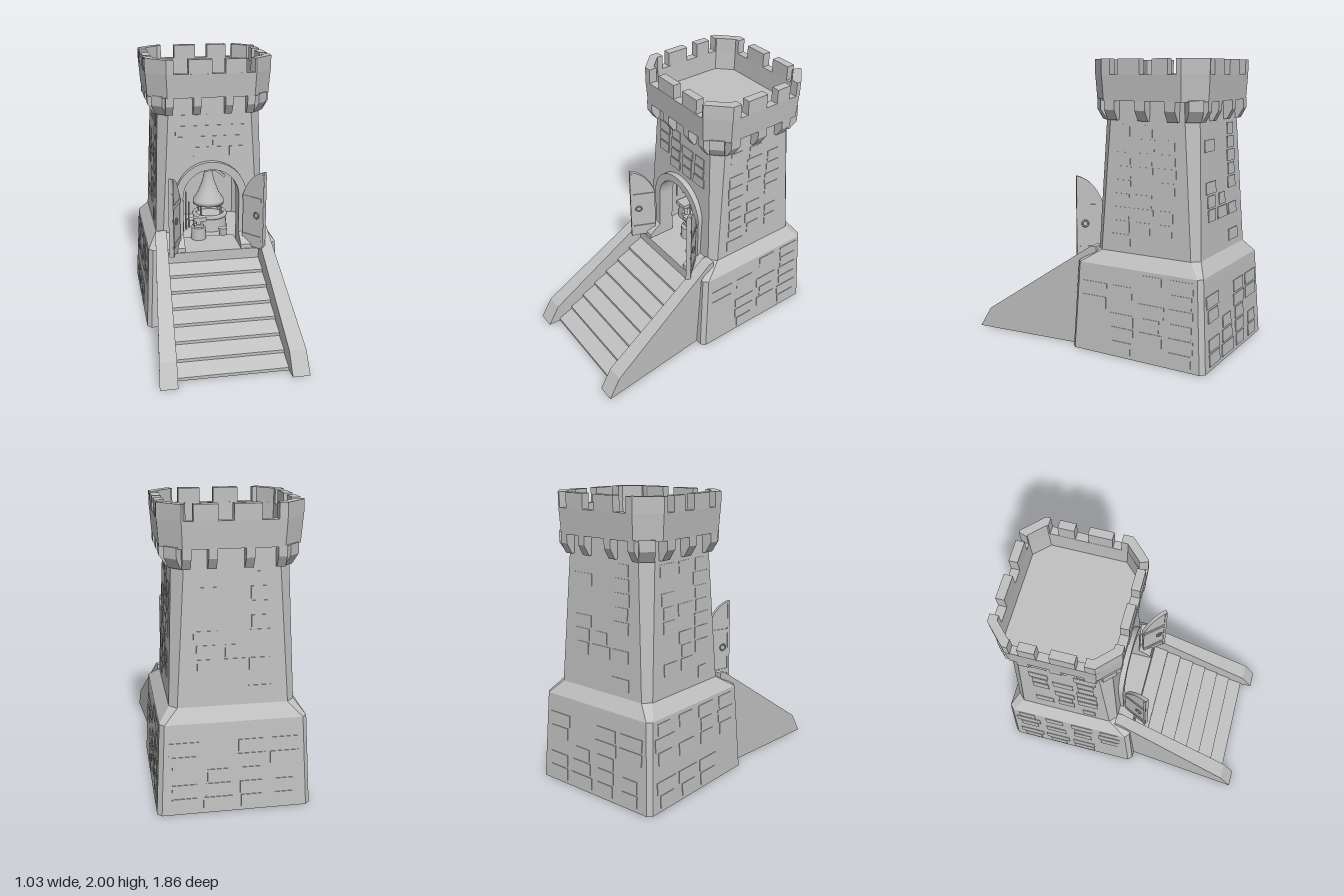
import * as THREE from 'three';

const stone = new THREE.MeshStandardMaterial({ color: 0xc0c0c0 });
stone.name = 'pale grey';
const lerp = THREE.MathUtils.lerp;

function add(parent, name, geo, x = 0, y = 0, z = 0) {
  const m = new THREE.Mesh(geo, stone);
  m.name = name;
  m.position.set(x, y, z);
  parent.add(m);
  return m;
}
const box = (w, h, d) => new THREE.BoxGeometry(w, h, d);
const cyl = (r0, r1, h, n = 16) => new THREE.CylinderGeometry(r0, r1, h, n);
const poly = pts => new THREE.Shape(pts.map(p => new THREE.Vector2(p[0], p[1])));
const extrude = (shape, depth) =>
  new THREE.ExtrudeGeometry(shape, { depth, bevelEnabled: false, curveSegments: 16 });

// Chamfered rectangle at height y, starting with its front edge
const oct = (y, hx, zf, zb, c) => [
  [-hx + c, y, zf], [hx - c, y, zf], [hx, y, zf - c], [hx, y, zb + c],
  [hx - c, y, zb], [-hx + c, y, zb], [-hx, y, zb + c], [-hx, y, zf - c]];

// Flat-faced skin through a chain of rings; skip leaves one edge open
function loft(rings, { bottom = true, top = true, skip = -1 } = {}) {
  const v = [], n = rings[0].length;
  for (let r = 0; r < rings.length - 1; r++) {
    for (let i = 0; i < n; i++) {
      if (i === skip) continue;
      const j = (i + 1) % n, a = rings[r], b = rings[r + 1];
      v.push(...a[i], ...a[j], ...b[j], ...a[i], ...b[j], ...b[i]);
    }
  }
  const last = rings[rings.length - 1];
  for (let i = 1; i < n - 1; i++) {
    if (bottom) v.push(...rings[0][0], ...rings[0][i + 1], ...rings[0][i]);
    if (top) v.push(...last[0], ...last[i], ...last[i + 1]);
  }
  const g = new THREE.BufferGeometry();
  g.setAttribute('position', new THREE.Float32BufferAttribute(v, 3));
  g.computeVertexNormals();
  return g;
}

// Side profile of (z, y) points pulled across x between two z-dependent limits
function across(pts, x0, x1) {
  const g = extrude(poly(pts), 1).rotateY(-Math.PI / 2).translate(1, 0, 0);
  const p = g.attributes.position;
  for (let i = 0; i < p.count; i++) p.setX(i, lerp(x0(p.getZ(i)), x1(p.getZ(i)), p.getX(i)));
  g.computeVertexNormals();
  return g;
}

let seed = 7;
const rnd = () => (seed = (seed * 16807) % 2147483647) / 2147483647;

// Slightly raised stones on one leaning wall
function stones(root, angle, y0, y1, rows, half, d0, d1, count) {
  const wall = new THREE.Group();
  wall.name = 'wallStones';
  wall.position.z = -0.425;
  wall.rotation.y = angle;
  const h = (y1 - y0) / rows;
  for (let r = 0; r < rows; r++) {
    for (let k = 0; k < count; k++) {
      if (rnd() < 0.35) continue;
      const cell = 2 * half / count, w = cell * (0.55 + 0.35 * rnd()), t = (r + 0.5) / rows;
      const s = add(wall, 'raisedStone', box(w, h * 0.86, 0.012),
        -half + cell * (k + 0.5), lerp(y0, y1, t), lerp(d0, d1, t));
      s.rotation.x = -Math.atan2(d0 - d1, y1 - y0);
    }
  }
  root.add(wall);
}

function doorLeaf(root, x, angle) {
  const g = new THREE.Group();
  g.name = 'doorLeaf';
  g.position.set(x, 0, -0.01);
  g.rotation.y = angle;
  const s = new THREE.Shape();
  s.moveTo(0, 0.6); s.lineTo(0.19, 0.6); s.lineTo(0.19, 1.2);
  s.quadraticCurveTo(0.06, 1.17, 0, 1.0);
  add(g, 'doorPanel', extrude(s, 0.026), 0, 0, -0.013);
  for (const y of [0.68, 0.98]) add(g, 'doorStrap', box(0.17, 0.03, 0.038), 0.085, y, 0);
  add(g, 'doorEdge', box(0.018, 0.58, 0.036), 0.18, 0.89, 0);
  for (const z of [-0.024, 0.024])
    add(g, 'doorRing', new THREE.TorusGeometry(0.022, 0.006, 6, 14), 0.13, 0.86, z);
  root.add(g);
}

function forge(root) {
  const g = new THREE.Group();
  g.name = 'forge';
  // Hearth with its hood and posts
  add(g, 'hearth', cyl(0.13, 0.14, 0.11), 0.06, 0.64, -0.45);
  add(g, 'hearthRim', new THREE.TorusGeometry(0.125, 0.018, 6, 20).rotateX(Math.PI / 2), 0.06, 0.7, -0.45);
  const hood = [[0, 0.79], [0.125, 0.79], [0.125, 0.82], [0.085, 0.88], [0.05, 0.97], [0.028, 1.07], [0.025, 1.35]]
    .map(p => new THREE.Vector2(...p));
  add(g, 'hood', new THREE.LatheGeometry(hood, 20), 0.05, 0, -0.45);
  for (const a of [0.8, 2.4, 3.9, 5.5])
    add(g, 'hoodPost', cyl(0.008, 0.008, 0.14, 6), 0.06 + 0.11 * Math.cos(a), 0.74, -0.45 + 0.11 * Math.sin(a));
  // Anvil on a stump
  add(g, 'stump', cyl(0.055, 0.06, 0.1), -0.07, 0.635, -0.2);
  add(g, 'anvilFoot', box(0.07, 0.02, 0.05), -0.07, 0.695, -0.2);
  add(g, 'anvilWaist', box(0.035, 0.04, 0.03), -0.07, 0.72, -0.2);
  add(g, 'anvilTop', box(0.1, 0.03, 0.05), -0.06, 0.748, -0.2);
  add(g, 'anvilHorn', cyl(0.004, 0.018, 0.05, 8).rotateZ(Math.PI / 2), -0.135, 0.75, -0.2);
  // Bucket beside the hearth
  add(g, 'bucket', cyl(0.035, 0.028, 0.06, 12), 0.13, 0.617, -0.24);
  // Tool racks and bench
  add(g, 'bench', box(0.1, 0.03, 0.3), -0.27, 0.73, -0.42);
  for (const z of [-0.3, -0.54]) add(g, 'benchLeg', box(0.08, 0.14, 0.03), -0.27, 0.655, z);
  add(g, 'toolRail', box(0.02, 0.025, 0.4), -0.32, 1.0, -0.42);
  for (let i = 0; i < 6; i++) {
    add(g, 'toolHandle', cyl(0.007, 0.007, 0.2, 6), -0.305, 0.91, -0.26 - i * 0.065);
    add(g, 'toolHead', box(0.02, 0.03, 0.04), -0.305, 1.02, -0.26 - i * 0.065);
  }
  for (let i = 0; i < 4; i++) {
    const h = 0.22 + 0.05 * (i % 3);
    add(g, 'standingTool', cyl(0.007, 0.007, h, 6), -0.2 + i * 0.03, 0.587 + h / 2, -0.32 - i * 0.04);
  }
  // Ceiling beam with struts
  add(g, 'beam', box(0.66, 0.035, 0.04), 0, 1.12, -0.3);
  for (const s of [-1, 1]) add(g, 'beamStrut', box(0.1, 0.02, 0.025), s * 0.11, 1.09, -0.28).rotation.z = s * -0.7;
  root.add(g);
}

export function createModel() {
  const root = new THREE.Group();
  root.name = 'watchtower';

  // Base, shoulder and tower shaft
  const sill = oct(0.585, 0.482, 0.062, -0.893, 0.03), brow = oct(0.62, 0.48, 0.06, -0.89, 0.03);
  const neck = oct(0.71, 0.41, -0.055, -0.83, 0.05), crown = oct(1.75, 0.37, -0.088, -0.77, 0.075);
  add(root, 'base', loft([oct(0, 0.51, 0.09, -0.93, 0.03), sill]));
  add(root, 'shaft', loft([sill, brow, neck, crown], { skip: 0, bottom: false, top: false }));
  const flip = r => [...r].reverse();
  add(root, 'roomLining', loft([flip(oct(0.59, 0.34, -0.12, -0.74, 0.04)), flip(oct(1.35, 0.34, -0.12, -0.74, 0.04))],
    { skip: 6, bottom: false }));

  // Blocks flanking the doorway at the shoulder
  for (const s of [-1, 1]) {
    const ring = (y, x, z) => s > 0
      ? [[0.21, y, z], [x, y, z], [x, y, -0.15], [0.21, y, -0.15]]
      : [[-x, y, z], [-0.21, y, z], [-0.21, y, -0.15], [-x, y, -0.15]];
    add(root, 'doorwayBlock', loft([ring(0.585, 0.452, 0.062), ring(0.62, 0.45, 0.06), ring(0.71, 0.36, -0.055)]));
  }

  // Front wall with arched doorway
  const front = new THREE.Shape();
  front.moveTo(0.21, 0.71); front.lineTo(0.36, 0.71); front.lineTo(0.295, 1.75);
  front.lineTo(-0.295, 1.75); front.lineTo(-0.36, 0.71); front.lineTo(-0.21, 0.71);
  front.lineTo(-0.21, 0.98); front.absarc(0, 0.98, 0.21, Math.PI, 0, true);
  const wall = extrude(front, 0.09), p = wall.attributes.position;
  for (let i = 0; i < p.count; i++)
    p.setZ(i, p.getZ(i) - 0.09 + lerp(-0.055, -0.088, (p.getY(i) - 0.71) / 1.04));
  wall.computeVertexNormals();
  add(root, 'frontWall', wall);
  const arch = new THREE.Shape();
  arch.moveTo(0.21, 0.585); arch.lineTo(0.265, 0.585); arch.lineTo(0.265, 0.98);
  arch.absarc(0, 0.98, 0.268, 0, Math.PI, false);
  arch.lineTo(-0.265, 0.585); arch.lineTo(-0.21, 0.585); arch.lineTo(-0.21, 0.98);
  arch.absarc(0, 0.98, 0.21, Math.PI, 0, true);
  add(root, 'doorArch', extrude(arch, 0.11), 0, 0, -0.14);

  // Parapet: underside, flared outside, rim, inside and roof floor in one chain
  add(root, 'parapet', loft([oct(1.73, 0.445, -0.012, -0.84, 0.13), oct(1.9, 0.457, 0, -0.848, 0.135),
    oct(1.9, 0.4, -0.06, -0.79, 0.1), oct(1.76, 0.395, -0.065, -0.785, 0.1)]));
  const zc = -0.424, up = shape => extrude(shape, 0.1).rotateX(-Math.PI / 2);
  for (const [a, b] of [[-0.165, 0.005], [0.1, 0.25]])
    for (const z of [-0.03, -0.819]) add(root, 'merlon', box(b - a, 0.1, 0.058), (a + b) / 2, 1.95, z);
  for (const [a, b] of [[-0.42, -0.26], [-0.62, -0.51]])
    for (const x of [-0.43, 0.43]) add(root, 'merlon', box(0.058, 0.1, b - a), x, 1.95, (a + b) / 2);
  for (const sx of [-1, 1]) for (const sz of [-1, 1]) {
    const xa = sx > 0 ? 0.335 : 0.27, za = sz > 0 ? 0.254 : 0.286;
    const pts = [[Math.min(xa, 0.31), 0.424], [0.322, 0.424], [0.459, 0.289], [0.459, za - 0.03],
      [0.4, za - 0.03], [0.4, 0.266], [0.3, 0.366], [Math.min(xa, 0.29), 0.366]];
    add(root, 'cornerMerlon', up(poly(pts.map(([x, z]) => [sx * x, -(zc + sz * z)]))), 0, 1.9, 0);
  }

  // Corbels under the parapet
  const corbel = (name, x, z, angle, w, out) => {
    const g = across([[-0.06, 1.6], [0.025, 1.6], [out, 1.67], [out, 1.74], [-0.06, 1.74]], () => -w / 2, () => w / 2);
    add(root, name, g, x, 0, z).rotation.y = angle;
  };
  for (const x of [-0.3, -0.1, 0.13, 0.29]) {
    corbel('corbel', x, -0.084, 0, 0.055, 0.07);
    corbel('corbel', x, -0.775, Math.PI, 0.055, 0.065);
  }
  for (const z of [-0.185, -0.415, -0.63]) for (const s of [-1, 1])
    corbel('corbel', s * 0.374, z, s * Math.PI / 2, 0.075, 0.07);
  for (const s of [-1, 1]) {
    corbel('cornerCorbel', s * 0.337, -0.12, s * Math.PI / 4, 0.1, 0.07);
    corbel('cornerCorbel', s * 0.337, -0.74, s * Math.PI * 0.75, 0.1, 0.07);
  }

  // Ramp of overlapping sloped treads, with side walls
  const ramp = [[-0.05, 0], [0.84, 0]];
  for (let i = 0; i < 8; i++) {
    const z = 0.84 - i * 0.11;
    ramp.push([z, i * 0.073 + 0.022]);
    ramp.push(i < 7 ? [z - 0.11, (i + 1) * 0.073] : [z, 0.588]);
  }
  ramp.push([-0.05, 0.588]);
  add(root, 'stairs', across(ramp, z => -0.36 - 0.04 * z, z => 0.36 + 0.04 * z));
  add(root, 'threshold', box(0.42, 0.008, 0.3), 0, 0.586, -0.08);
  const rail = [[-0.06, 0], [0.93, 0], [0.84, 0.15], [-0.02, 0.725], [-0.06, 0.725]];
  const inner = z => 0.34 + 0.052 * z, outer = z => 0.425 + 0.092 * z;
  add(root, 'leftStairWall', across(rail, inner, outer));
  add(root, 'rightStairWall', across(rail, z => -outer(z), z => -inner(z)));

  doorLeaf(root, 0.245, -0.86);
  doorLeaf(root, -0.25, -1.985);
  forge(root);

  // Raised masonry
  const q = Math.PI / 2;
  for (const a of [q, -q]) {
    stones(root, a, 0.02, 0.6, 6, 0.44, 0.508, 0.479, 4);
    stones(root, a, 0.75, 1.58, 9, 0.25, 0.407, 0.374, 3);
  }
  stones(root, 2 * q, 0.02, 0.6, 6, 0.44, 0.503, 0.466, 4);
  stones(root, 2 * q, 0.75, 1.58, 9, 0.26, 0.402, 0.353, 3);
  stones(root, 0, 1.28, 1.6, 4, 0.27, 0.352, 0.342, 4);
  return root;
}
